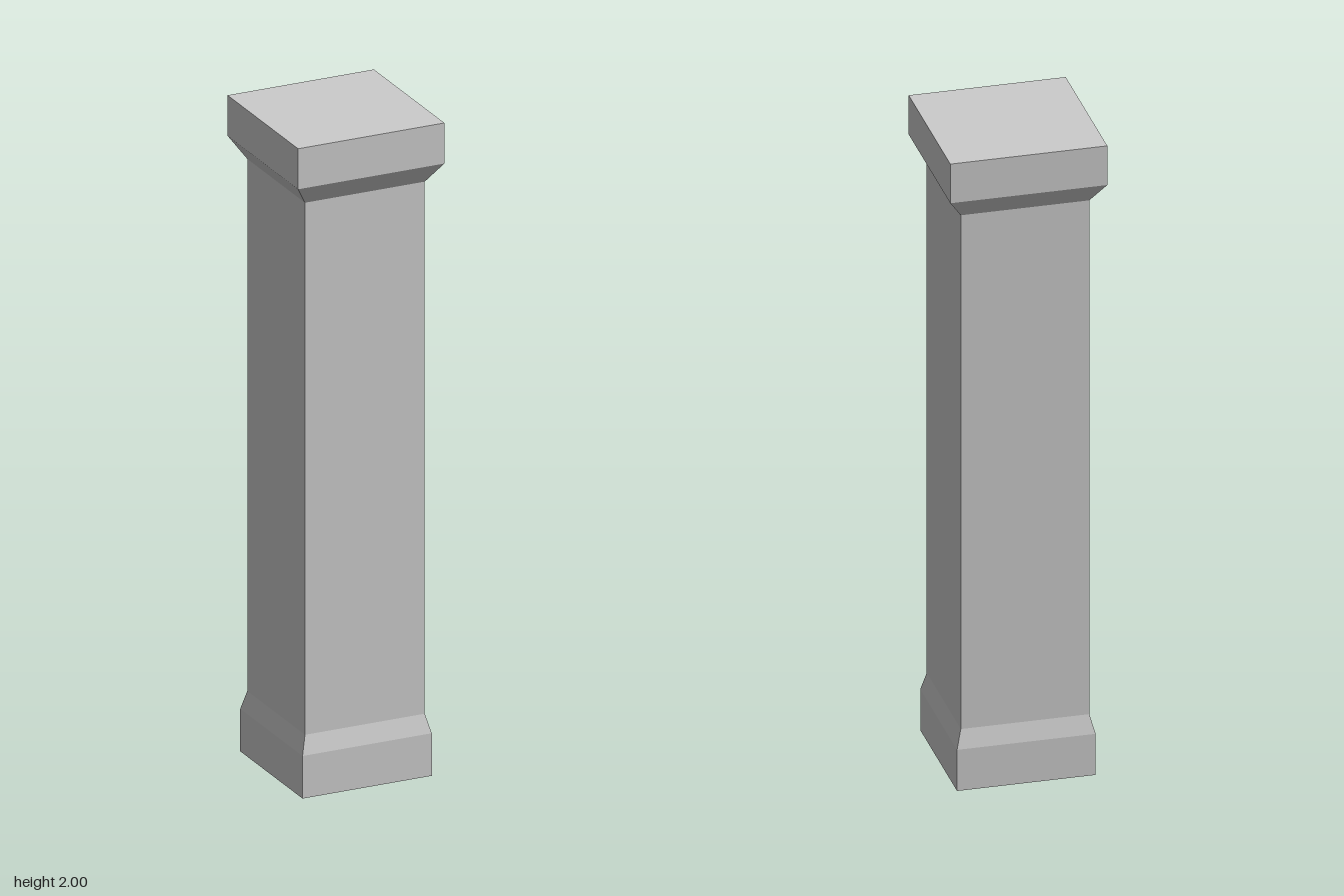
import * as THREE from 'three';

const material = new THREE.MeshStandardMaterial({ color: 0xcccccc, flatShading: true });

// Square section between two heights, given the half widths at its bottom and top
function section(name, y0, y1, half0, half1, open = true) {
  const geometry = new THREE.CylinderGeometry(half1 * Math.SQRT2, half0 * Math.SQRT2, y1 - y0, 4, 1, open);
  geometry.rotateY(Math.PI / 4);
  geometry.translate(0, (y0 + y1) / 2, 0);
  const mesh = new THREE.Mesh(geometry, material);
  mesh.name = name;
  return mesh;
}

export function createModel() {
  const pillar = new THREE.Group();
  pillar.name = 'pillar';
  pillar.add(
    // Plinth and its sloped shoulder
    section('base', 0, 0.13, 0.204, 0.204, false),
    section('baseShoulder', 0.13, 0.187, 0.204, 0.189),
    // Plain square shaft
    section('shaft', 0.187, 1.813, 0.189, 0.189),
    // Flared neck and slab on top
    section('capitalFlare', 1.813, 1.876, 0.189, 0.231),
    section('capital', 1.876, 2, 0.231, 0.231, false),
  );
  return pillar;
}
